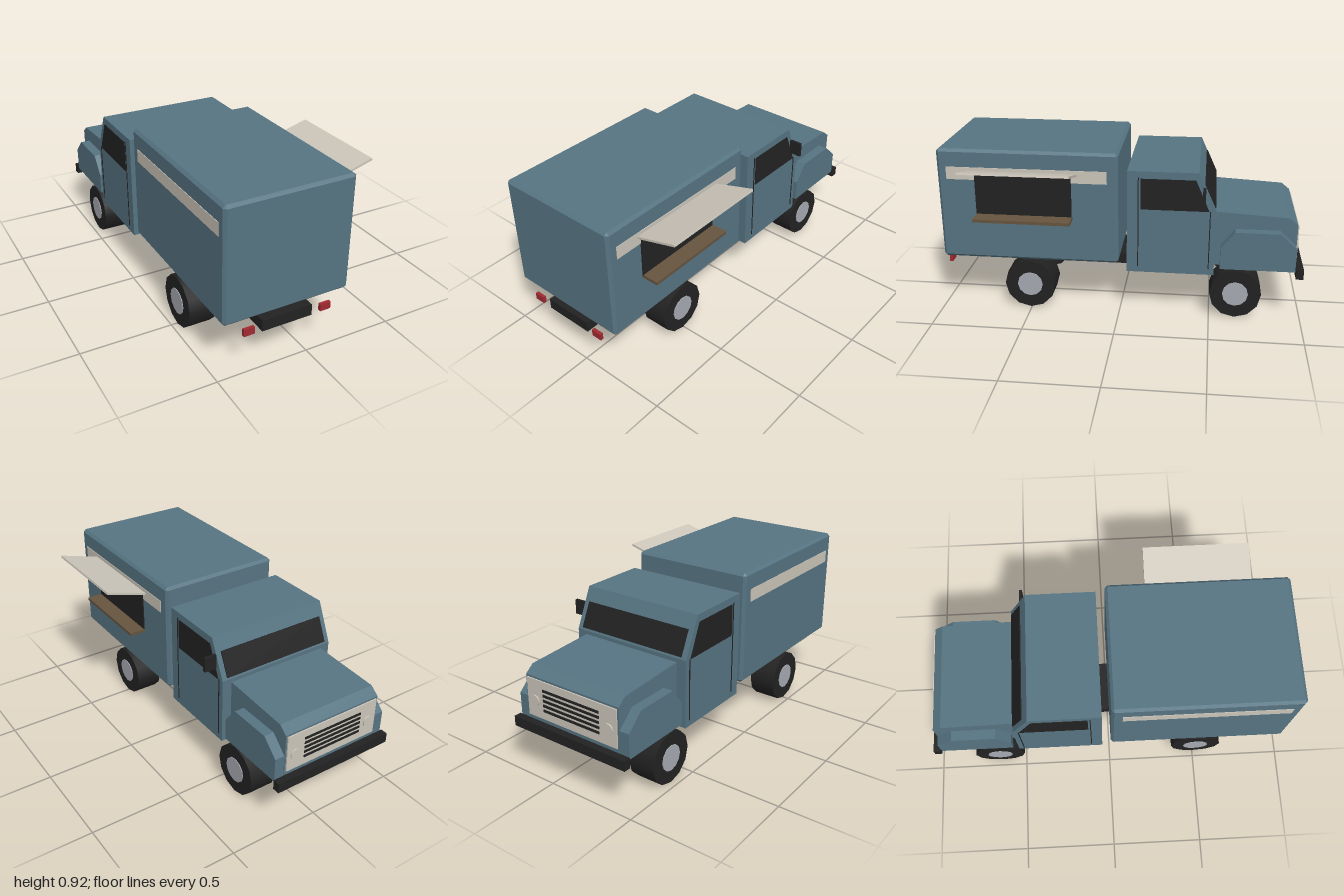
import * as THREE from 'three';
import { ConvexGeometry } from 'three/addons/geometries/ConvexGeometry.js';

const material = (name, color) => {
  const m = new THREE.MeshStandardMaterial({ color });
  m.name = name;
  return m;
};

export function createModel() {
  const blue = material('blue paint', 0x567482);
  const black = material('black', 0x222222);
  const cream = material('cream', 0xccc6ba);
  const brown = material('wood', 0x66543f);
  const red = material('red', 0xa02a30);
  const silver = material('silver', 0xa6a9b1);

  const truck = new THREE.Group();
  truck.name = 'foodTruck';
  const CX = -0.115; // centre line of the body
  const HALF = 0.35; // half the body width

  const add = (name, geometry, mat) => {
    const mesh = new THREE.Mesh(geometry, mat);
    mesh.name = name;
    truck.add(mesh);
    return mesh;
  };
  // Box given by its limits on each axis
  const box = (name, mat, [x0, x1], [y0, y1], [z0, z1]) => {
    const g = new THREE.BoxGeometry(x1 - x0, y1 - y0, z1 - z0);
    g.translate((x0 + x1) / 2, (y0 + y1) / 2, (z0 + z1) / 2);
    return add(name, g, mat);
  };
  // Side profile of [forward, y] points, extruded across x
  const profile = (name, mat, points, x0, x1) => {
    const shape = new THREE.Shape(points.map(([f, y]) => new THREE.Vector2(f, y)));
    const g = new THREE.ExtrudeGeometry(shape, { depth: x1 - x0, bevelEnabled: false });
    g.rotateY(Math.PI / 2).translate(x0, 0, 0);
    return add(name, g, mat);
  };
  // Box with all edges and corners chamfered
  const chamferBox = (w, h, d, c) => {
    const points = [];
    for (const sx of [-1, 1]) for (const sy of [-1, 1]) for (const sz of [-1, 1]) {
      const [x, y, z] = [sx * w / 2, sy * h / 2, sz * d / 2];
      points.push(
        new THREE.Vector3(x, y - sy * c, z - sz * c),
        new THREE.Vector3(x - sx * c, y, z - sz * c),
        new THREE.Vector3(x - sx * c, y - sy * c, z));
    }
    return new ConvexGeometry(points);
  };

  // Chassis and cargo body
  box('chassis', black, [CX - 0.14, CX + 0.14], [0.2, 0.26], [-0.52, 0.992]);
  add('cargoBody', chamferBox(2 * HALF, 0.627, 0.985, 0.015), blue).position.set(CX, 0.604, 0.4985);

  // Cab, hood and bumper
  profile('cab', blue, [[-0.04, 0.25], [0.518, 0.25], [0.518, 0.62], [0.422, 0.83], [-0.04, 0.83]].map(
    ([f, y]) => [f === -0.04 ? 0.042 : f, y]), CX - HALF, CX + HALF);
  profile('hood', blue, [[0.515, 0.288], [0.957, 0.288], [0.957, 0.54], [0.91, 0.578], [0.515, 0.6]],
    CX - 0.295, CX + 0.295);
  box('frontBumper', black, [CX - 0.357, CX + 0.357], [0.25, 0.304], [-1, -0.96]);

  // Windshield lying on the sloped cab front
  const slope = new THREE.Vector2(0.096, -0.21);
  const at = (t, out) => [0.422 + slope.x * t + out * 0.91, 0.83 + slope.y * t + out * 0.416];
  profile('windshield', black, [at(0.34, 0), at(0.95, 0), at(0.95, 0.006), at(0.34, 0.006)],
    CX - 0.32, CX + 0.32);

  // Parts repeated on both sides
  for (const side of [-1, 1]) {
    const label = side > 0 ? 'left' : 'right';
    const span = (a, b) => [CX + side * a, CX + side * b].sort((p, q) => p - q);
    const skin = span(HALF - 0.002, HALF + 0.003);

    profile(label + 'Fender', blue,
      [[0.55, 0.288], [0.955, 0.288], [0.955, 0.42], [0.865, 0.505], [0.625, 0.505], [0.55, 0.41]],
      ...span(0.29, HALF));
    profile(label + 'DoorWindow', black,
      [[0.115, 0.618], [0.482, 0.618], [0.407, 0.79], [0.115, 0.79]], ...skin);
    box(label + 'DoorRearSeam', black, skin, [0.285, 0.795], [-0.105, -0.1]);
    box(label + 'DoorFrontSeam', black, skin, [0.285, 0.618], [-0.49, -0.485]);
    box(label + 'Stripe', cream, skin, [0.75, 0.82], [0.065, 0.94]);
    box(label + 'TailLight', red, span(0.185, 0.245), [0.21, 0.248], [0.982, 1]);

    // Headlight
    const lamp = new THREE.CylinderGeometry(0.03, 0.03, 0.014, 12).rotateX(Math.PI / 2);
    add(label + 'Headlight', lamp, cream).position.set(CX + side * 0.235, 0.415, -0.964);

    // Wheels
    for (const [end, z] of [['Front', -0.64], ['Rear', 0.505]]) {
      const tyre = new THREE.CylinderGeometry(0.142, 0.142, 0.15, 12).rotateZ(Math.PI / 2);
      add(label + end + 'Tyre', tyre, black).position.set(CX + side * 0.275, 0.142, z);
      const hub = new THREE.CylinderGeometry(0.071, 0.071, 0.02, 12).rotateZ(Math.PI / 2);
      add(label + end + 'Hub', hub, silver).position.set(CX + side * 0.344, 0.142, z);
    }
  }

  // Grille with slots
  box('grille', cream, [CX - 0.285, CX + 0.285], [0.325, 0.53], [-0.964, -0.955]);
  for (let i = 0; i < 5; i++) {
    const y = 0.375 + i * 0.027;
    box('grilleSlot' + (i + 1), black, [CX - 0.18, CX + 0.18], [y - 0.0065, y + 0.0065], [-0.968, -0.962]);
  }

  // Serving hatch, counter, awning and door mirror on the left side
  const wall = CX + HALF;
  box('servingHatch', black, [wall - 0.002, wall + 0.006], [0.55, 0.787], [0.258, 0.785]);
  box('counter', brown, [wall, 0.33], [0.54, 0.557], [0.255, 0.785]);
  const awning = new THREE.BoxGeometry(0.246, 0.012, 0.58).translate(0.123, 0, 0);
  const awningMesh = add('awning', awning, cream);
  awningMesh.position.set(wall - 0.002, 0.793, 0.515);
  awningMesh.rotation.z = 0.28;
  box('doorMirror', black, [wall, 0.303], [0.67, 0.75], [-0.461, -0.445]);

  return truck;
}
